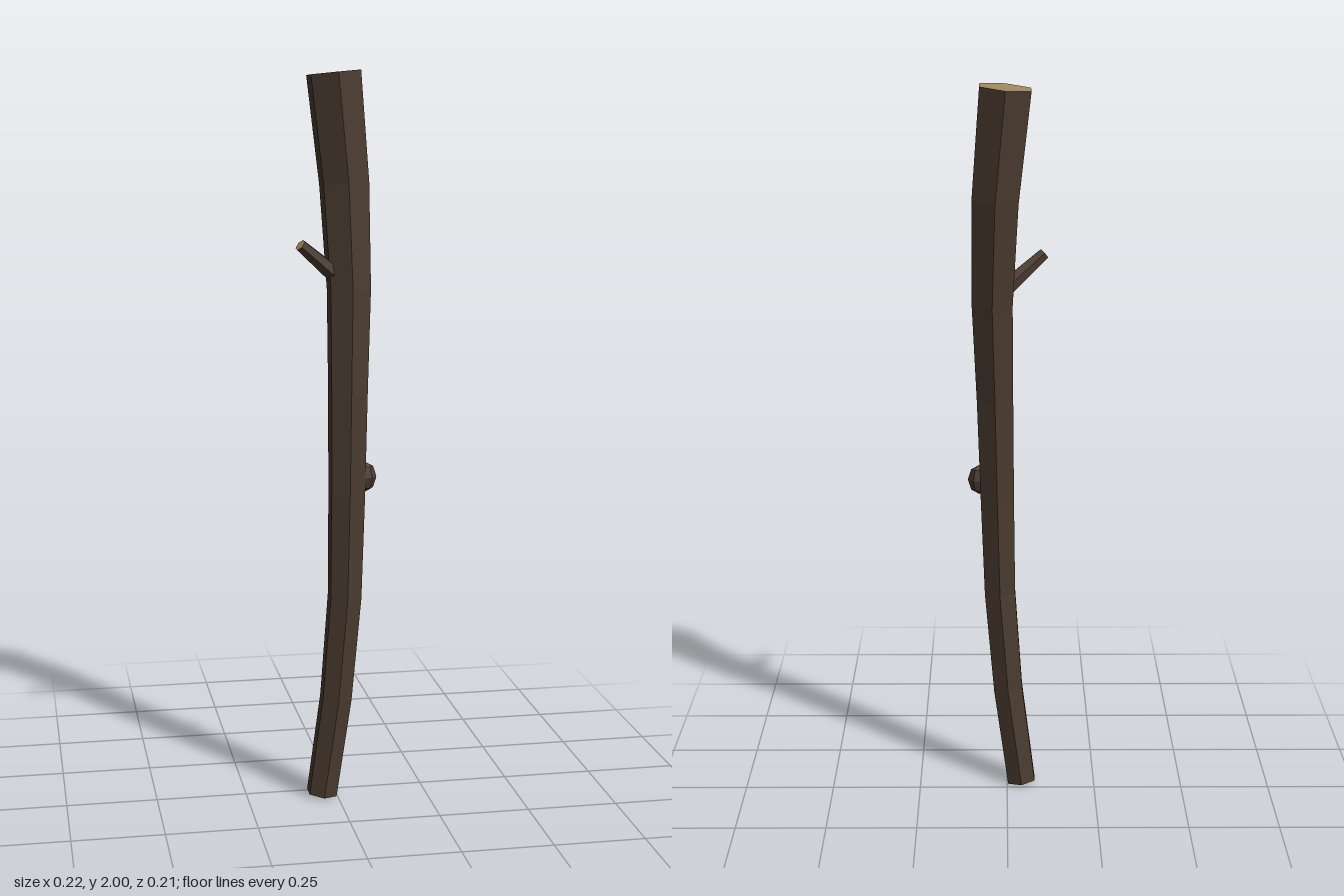
import * as THREE from 'three';

const bark = new THREE.MeshStandardMaterial({ color: 0x4a3b30, flatShading: true });
const wood = new THREE.MeshStandardMaterial({ color: 0xa08862, flatShading: true });
const SIDES = 6;

function mesh(name, geometry, material) {
  const m = new THREE.Mesh(geometry, material);
  m.name = name;
  return m;
}

function surface(points, index) {
  const g = new THREE.BufferGeometry();
  g.setAttribute('position', new THREE.Float32BufferAttribute(points.flatMap(p => p.toArray()), 3));
  g.setIndex(index);
  g.computeVertexNormals();
  return g;
}

// Hexagonal ring sheared square to the local lean of the stem
function ring([x, y, z, r], leanX, leanZ) {
  return Array.from({ length: SIDES }, (_, i) => {
    const a = Math.PI / 2 + (i / SIDES) * Math.PI * 2;
    const ox = Math.cos(a) * r, oz = Math.sin(a) * r;
    return new THREE.Vector3(x + ox, y - leanX * ox - leanZ * oz, z + oz);
  });
}

function capIndex(up) {
  const index = [];
  for (let i = 1; i < SIDES - 1; i++) index.push(0, ...(up ? [i + 1, i] : [i, i + 1]));
  return index;
}

export function createModel() {
  const model = new THREE.Group();
  model.name = 'woodenStick';

  // Bent, tapering trunk: x, y, z, radius of each section
  const sections = [
    [-0.041, 0.007, 0.04, 0.044],
    [-0.003, 0.29, 0.052, 0.046],
    [0.02, 0.58, 0.058, 0.049],
    [0.027, 0.86, 0.05, 0.053],
    [0.033, 1.15, 0.034, 0.057],
    [0.04, 1.42, 0.008, 0.063],
    [0.032, 1.7, -0.02, 0.071],
    [0.005, 1.993, -0.03, 0.0775],
  ];
  const rings = sections.map((s, k) => {
    const a = sections[Math.max(k - 1, 0)];
    const b = sections[Math.min(k + 1, sections.length - 1)];
    const dy = b[1] - a[1];
    return ring(s, (b[0] - a[0]) / dy, (b[2] - a[2]) / dy);
  });
  const index = [];
  for (let k = 0; k < rings.length - 1; k++) {
    for (let i = 0; i < SIDES; i++) {
      const j = (i + 1) % SIDES;
      const a = k * SIDES + i, b = k * SIDES + j;
      index.push(a, a + SIDES, b, b, a + SIDES, b + SIDES);
    }
  }
  model.add(mesh('trunk', surface(rings.flat(), index), bark));

  // Cut ends
  model.add(mesh('topCut', surface(rings.at(-1), capIndex(true)), wood));
  model.add(mesh('bottomEnd', surface(rings[0], capIndex(false)), bark));

  // Twig rising from the right side, with a pale cut tip
  const base = new THREE.Vector3(0.03, 1.435, 0.006);
  const tip = new THREE.Vector3(-0.099, 1.545, 0.052);
  const axis = tip.clone().sub(base);
  const twig = new THREE.Group();
  twig.name = 'twig';
  twig.position.copy(base).lerp(tip, 0.5);
  twig.quaternion.setFromUnitVectors(new THREE.Vector3(0, 1, 0), axis.clone().normalize());
  twig.add(mesh('twigBark', new THREE.CylinderGeometry(0.017, 0.027, axis.length(), SIDES, 1, true), bark));
  const cut = mesh('twigCut', new THREE.CircleGeometry(0.017, SIDES), wood);
  cut.rotation.set(-Math.PI / 2, 0, Math.PI / 2);
  cut.position.y = axis.length() / 2;
  twig.add(cut);
  model.add(twig);

  // Small knot on the left side
  const knot = mesh('knot', new THREE.SphereGeometry(1, SIDES, 4), bark);
  knot.scale.set(0.032, 0.042, 0.024);
  knot.position.set(0.077, 0.912, 0.052);
  model.add(knot);

  return model;
}
